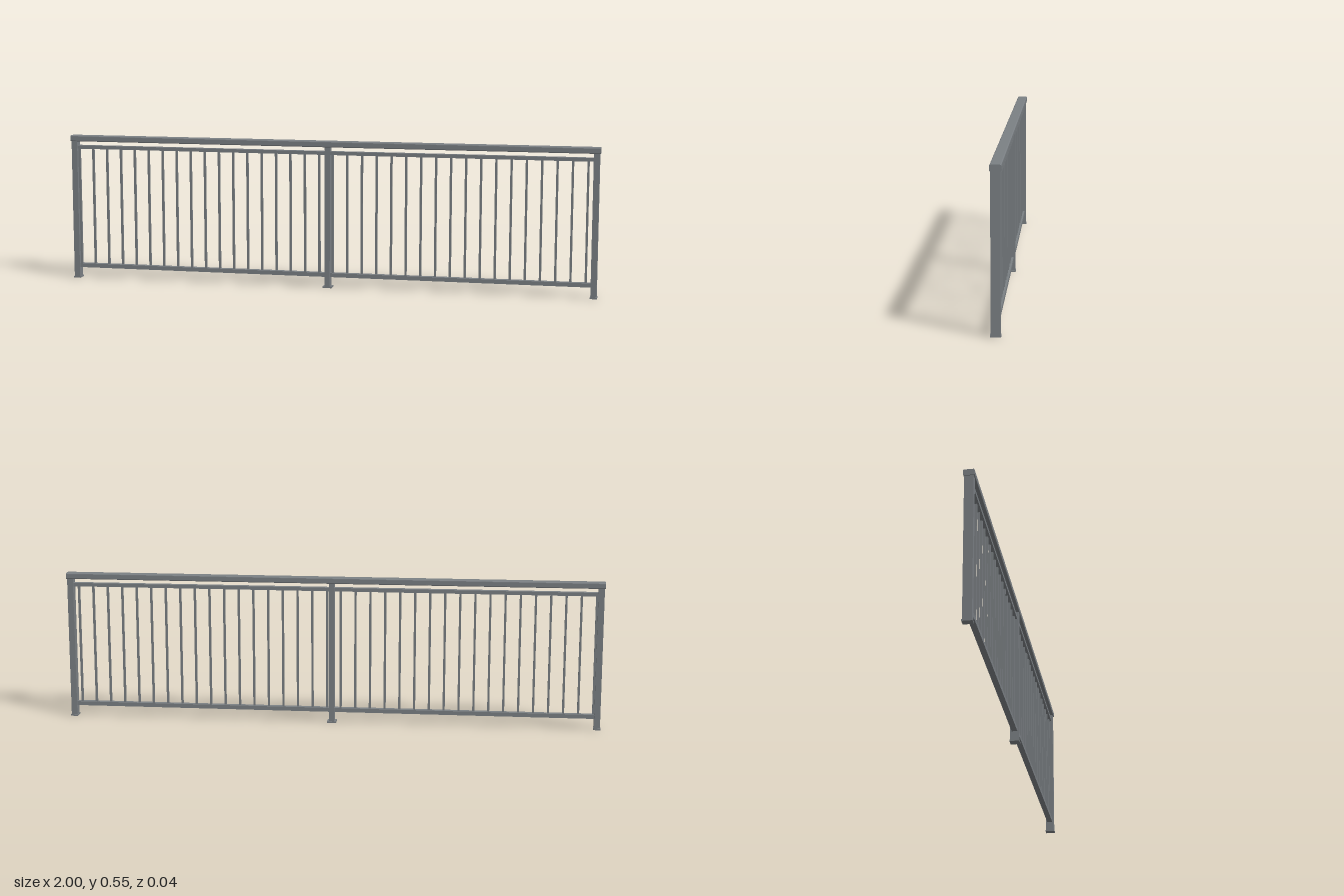
import * as THREE from 'three';

export function createModel() {
  const model = new THREE.Group();
  model.name = 'railing';
  const paint = new THREE.MeshStandardMaterial({ color: 0x7b8084 });
  paint.name = 'grey metal';

  const add = (geometry, name, x, y, z = 0) => {
    const mesh = new THREE.Mesh(geometry, paint);
    mesh.name = name;
    mesh.position.set(x, y, z);
    model.add(mesh);
  };
  // box given by its x and y limits and its depth
  const bar = (name, x0, x1, y0, y1, depth) =>
    add(new THREE.BoxGeometry(x1 - x0, y1 - y0, depth), name, (x0 + x1) / 2, (y0 + y1) / 2);

  // handrail: profile with softened corners swept along x
  const w = 0.019, h = 0.011, r = 0.004;
  const profile = new THREE.Shape();
  profile.moveTo(-w + r, -h);
  profile.lineTo(w - r, -h);
  profile.quadraticCurveTo(w, -h, w, -h + r);
  profile.lineTo(w, h - r);
  profile.quadraticCurveTo(w, h, w - r, h);
  profile.lineTo(-w + r, h);
  profile.quadraticCurveTo(-w, h, -w, h - r);
  profile.lineTo(-w, -h + r);
  profile.quadraticCurveTo(-w, -h, -w + r, -h);
  const handrail = new THREE.ExtrudeGeometry(profile, { depth: 2, bevelEnabled: false, curveSegments: 4 });
  handrail.translate(0, 0, -1).rotateY(Math.PI / 2);
  add(handrail, 'handrail', 0, 0.541);

  // posts with foot plates
  bar('middlePost', -0.01, 0.01, 0, 0.531, 0.032);
  bar('middleFoot', -0.017, 0.017, 0, 0.006, 0.036);
  for (const [side, name] of [[-1, 'right'], [1, 'left']]) {
    const inner = side * 0.975, outer = side * 0.997;
    const x0 = Math.min(inner, outer), x1 = Math.max(inner, outer);
    bar(name + 'Post', x0, x1, 0, 0.531, 0.032);
    bar(name + 'Foot', x0 - 0.002, x1 + 0.002, 0, 0.006, 0.036);
  }

  // two panels of horizontal rails and square balusters
  for (const [x0, x1, first] of [[-0.975, -0.01, -0.971], [0.01, 0.975, 0.018]]) {
    bar('topRail', x0, x1, 0.501, 0.514, 0.021);
    bar('bottomRail', x0, x1, 0.041, 0.056, 0.021);
    for (let i = 0; i < 18; i++) {
      const x = first + i * 0.0552;
      bar('baluster', x - 0.004, x + 0.004, 0.054, 0.503, 0.008);
    }
  }
  return model;
}
